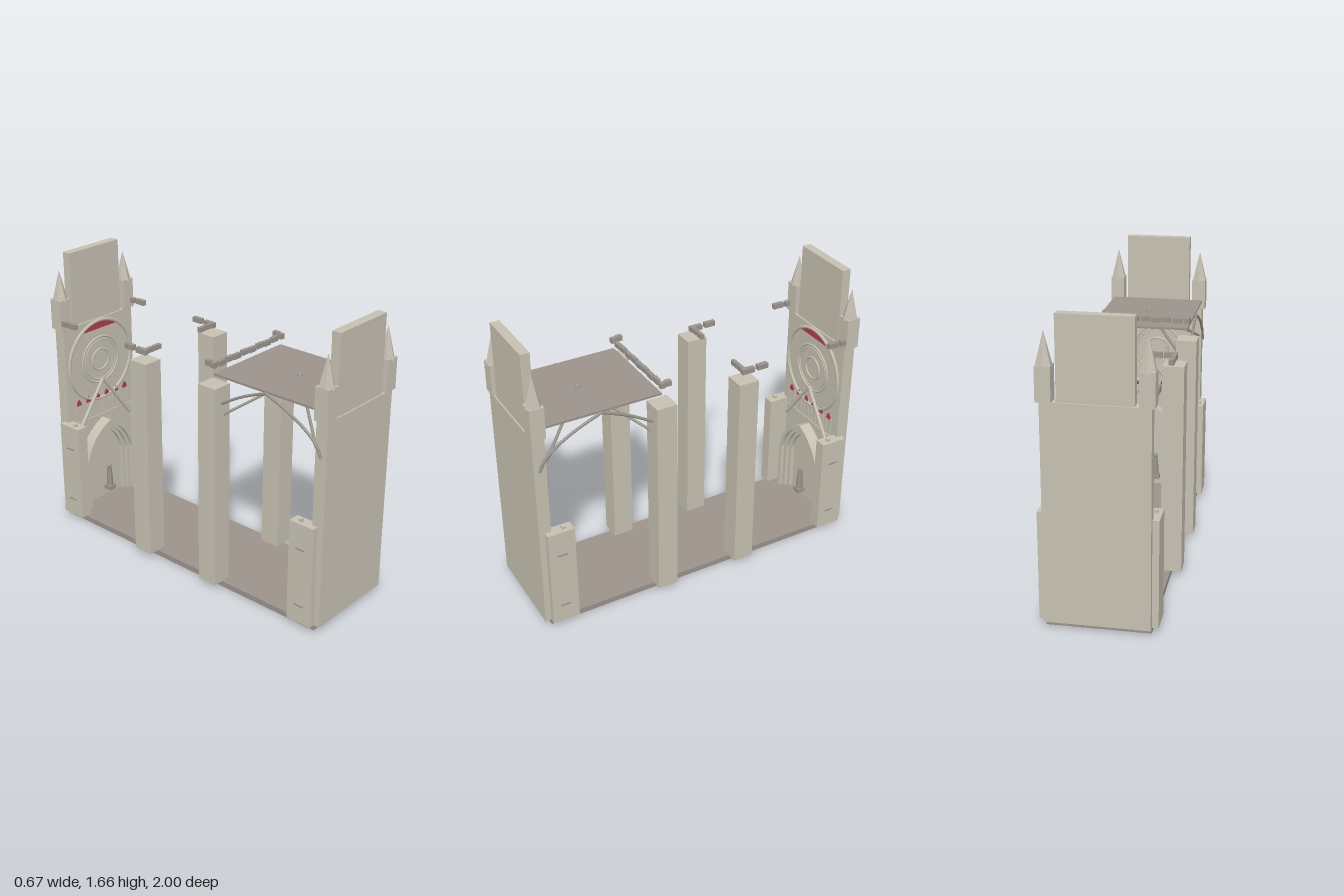
import * as THREE from 'three';

const mat = (name, color) => {
  const m = new THREE.MeshStandardMaterial({ color });
  m.name = name;
  return m;
};

export function createModel() {
  const stone = mat('pale stone', 0xc5c0b1);
  const paving = mat('grey paving', 0x9b928b);
  const trim = mat('dark trim', 0x99948b);
  const glass = mat('red glass', 0xb03a4c);
  glass.side = THREE.DoubleSide;

  const root = new THREE.Group();
  root.name = 'ruinedChurch';
  const add = (parent, name, geo, material, x = 0, y = 0, z = 0) => {
    const m = new THREE.Mesh(geo, material);
    m.name = name;
    m.position.set(x, y, z);
    parent.add(m);
    return m;
  };
  // box given by its lower and upper limits on each axis
  const box = (parent, name, material, x0, x1, y0, y1, z0, z1) =>
    add(parent, name, new THREE.BoxGeometry(x1 - x0, y1 - y0, z1 - z0), material,
      (x0 + x1) / 2, (y0 + y1) / 2, (z0 + z1) / 2);
  const tube = (parent, name, curve, r, material, n = 20) =>
    add(parent, name, new THREE.TubeGeometry(curve, n, r, 6), material);
  const v = (x, y, z) => new THREE.Vector3(x, y, z);

  // floor and the surviving vault bay
  box(root, 'floor', paving, -0.275, 0.275, 0, 0.033, -0.95, 0.95);
  box(root, 'vaultPanel', paving, -0.275, 0.275, 1.265, 1.277, 0.25, 0.915);
  add(root, 'vaultBoss', new THREE.SphereGeometry(0.015, 10, 8), trim, 0, 1.278, 0.6);

  // pillars of the nave
  for (const s of [-1, 1]) {
    for (const z of [-0.25, 0.25]) {
      const c = s * 0.277;
      box(root, 'pillar', stone, c - 0.058, c + 0.058, 0.033, 1.22, z - 0.06, z + 0.06);
    }
    // wall rib and diagonal ribs of the vault
    tube(root, 'wallRib', new THREE.CatmullRomCurve3([
      v(s * 0.28, 1.02, 0.955), v(s * 0.28, 1.08, 0.925), v(s * 0.28, 1.14, 0.86),
      v(s * 0.28, 1.205, 0.75), v(s * 0.28, 1.268, 0.6)]), 0.008, trim);
    tube(root, 'wallRib', new THREE.CatmullRomCurve3([
      v(s * 0.28, 1.268, 0.6), v(s * 0.28, 1.205, 0.45), v(s * 0.28, 1.12, 0.3)]), 0.008, trim);
    for (const z of [0.91, 0.305]) {
      tube(root, 'diagonalRib', new THREE.LineCurve3(v(0, 1.272, 0.6), v(s * 0.26, 1.055, z)), 0.008, trim, 1);
    }

    // broken cornice stones along the sides: [z0, z1, y]
    for (const [z0, z1, y] of [[0.2, 0.235, 1.33], [0.235, 0.265, 1.325], [-0.31, -0.235, 1.265],
      [-0.395, -0.33, 1.268], [-0.865, -0.8, 1.268], [-0.92, -0.88, 1.265]]) {
      box(root, 'corniceStone', trim, s * 0.278 - 0.013, s * 0.278 + 0.013, y - 0.015, y + 0.015, z0, z1);
    }
    // stubs of the rear cross cornice
    for (const x of [0.185, 0.245]) {
      box(root, 'corniceStone', trim, s * x - 0.026, s * x + 0.026, 1.252, 1.28, -0.262, -0.24);
    }
  }
  // cross cornice over the open edge of the vault
  for (let i = 0; i < 8; i++) {
    const x = -0.217 + i * 0.062;
    const lift = i % 2 ? 0.004 : 0;
    box(root, 'corniceStone', trim, x - 0.025, x + 0.025, 1.306 + lift, 1.334 + lift, 0.238, 0.26);
  }

  // pointed arch outline, as a band that reaches the floor
  const archPath = (path, w, spring, rise, reversed) => {
    const pts = [[-w, 0.033], [-w, spring]];
    const left = new THREE.QuadraticBezierCurve(new THREE.Vector2(-w, spring),
      new THREE.Vector2(-w * 0.8, spring + rise * 0.72), new THREE.Vector2(0, spring + rise)).getPoints(10);
    left.slice(1).forEach(p => pts.push([p.x, p.y]));
    left.slice(0, -1).reverse().forEach(p => pts.push([-p.x, p.y]));
    pts.push([w, 0.033]);
    if (reversed) pts.reverse();
    pts.forEach(([x, y], i) => (i || reversed ? path.lineTo(x, y) : path.moveTo(x, y)));
  };
  const archBand = (w, t, spring, rise, depth) => {
    const s = new THREE.Shape();
    archPath(s, w, spring, rise, false);
    archPath(s, w - t, spring, rise - t * 1.1, true);
    s.closePath();
    return new THREE.ExtrudeGeometry(s, { depth, bevelEnabled: false });
  };

  // end wall, built with its outer face towards +z
  const endWall = () => {
    const g = new THREE.Group();
    g.name = 'endWall';
    box(g, 'wall', stone, -0.275, 0.275, 0.033, 1.22, 0.915, 0.985);
    box(g, 'upperGable', stone, -0.192, 0.192, 1.22, 1.66, 0.925, 0.977);
    for (const s of [-1, 1]) {
      box(g, 'pinnacleBase', stone, s * 0.253 - 0.04, s * 0.253 + 0.04, 1.22, 1.4, 0.912, 0.992);
      const spire = new THREE.ConeGeometry(0.046, 0.18, 6);
      add(g, 'spire', spire.toNonIndexed(), stone, s * 0.253, 1.48, 0.952).geometry.computeVertexNormals();
      box(g, 'buttress', stone, s * 0.276 - 0.034, s * 0.276 + 0.034, 0.033, 0.628, 0.795, 0.95);
      box(g, 'buttressCap', stone, s * 0.28 - 0.01, s * 0.28 + 0.01, 0.628, 0.645, 0.837, 0.858);
      for (const y of [0.14, 0.48]) {
        box(g, 'buttressTie', trim, s * 0.31 - 0.004, s * 0.31 + 0.004, y - 0.004, y + 0.004, 0.845, 0.9);
      }
      // steep gable over the portal
      tube(g, 'portalGable', new THREE.LineCurve3(v(0, 0.84, 0.895), v(s * 0.215, 0.545, 0.895)), 0.011, stone, 1);
    }

    // round window: rim, inner rings and the surviving segment of glass
    for (const [r, t] of [[0.25, 0.011], [0.145, 0.007], [0.125, 0.004], [0.066, 0.007]]) {
      add(g, 'roseRing', new THREE.TorusGeometry(r, t, 6, 48), stone, 0, 0.96, 0.91);
    }
    const seg = new THREE.Shape();
    seg.absarc(0, 0, 0.243, Math.PI / 2 - 0.62, Math.PI / 2 + 0.62, false);
    seg.closePath();
    add(g, 'roseGlass', new THREE.ShapeGeometry(seg, 16), glass, 0, 0.96, 0.911);

    // arcade of slim shafts with red pointed heads
    for (let i = 0; i < 6; i++) {
      const x = -0.19 + i * 0.076;
      const head = new THREE.Shape([new THREE.Vector2(-0.018, 0), new THREE.Vector2(0.018, 0),
        new THREE.Vector2(0.012, 0.022), new THREE.Vector2(0, 0.038), new THREE.Vector2(-0.012, 0.022)]);
      add(g, 'arcadeGlass', new THREE.ExtrudeGeometry(head, { depth: 0.008, bevelEnabled: false }),
        glass, x, 0.715, 0.904);
      box(g, 'arcadeShaft', stone, x - 0.026, x - 0.02, 0.6, 0.72, 0.908, 0.916);
      box(g, 'arcadeShaft', stone, x + 0.02, x + 0.026, 0.6, 0.72, 0.908, 0.916);
    }
    box(g, 'stringCourse', stone, -0.235, 0.235, 0.594, 0.602, 0.908, 0.916);

    // stepped portal
    [[0.2, 0.845, 0.575], [0.178, 0.868, 0.551], [0.156, 0.89, 0.527]].forEach(([w, z, top]) =>
      add(g, 'portalArch', archBand(w, 0.022, 0.33, top - 0.33, 0.918 - z), stone, 0, 0, z));

    // small figure on a pedestal
    box(g, 'figurePedestal', trim, -0.026, 0.026, 0.09, 0.115, 0.845, 0.897);
    add(g, 'figureBody', new THREE.CylinderGeometry(0.014, 0.021, 0.12, 8), trim, 0, 0.175, 0.871);
    add(g, 'figureHead', new THREE.SphereGeometry(0.014, 8, 6), trim, 0, 0.247, 0.871);
    return g;
  };
  const front = endWall();
  front.name = 'frontEndWall';
  const back = endWall();
  back.name = 'backEndWall';
  back.rotation.y = Math.PI;
  root.add(front, back);
  return root;
}
